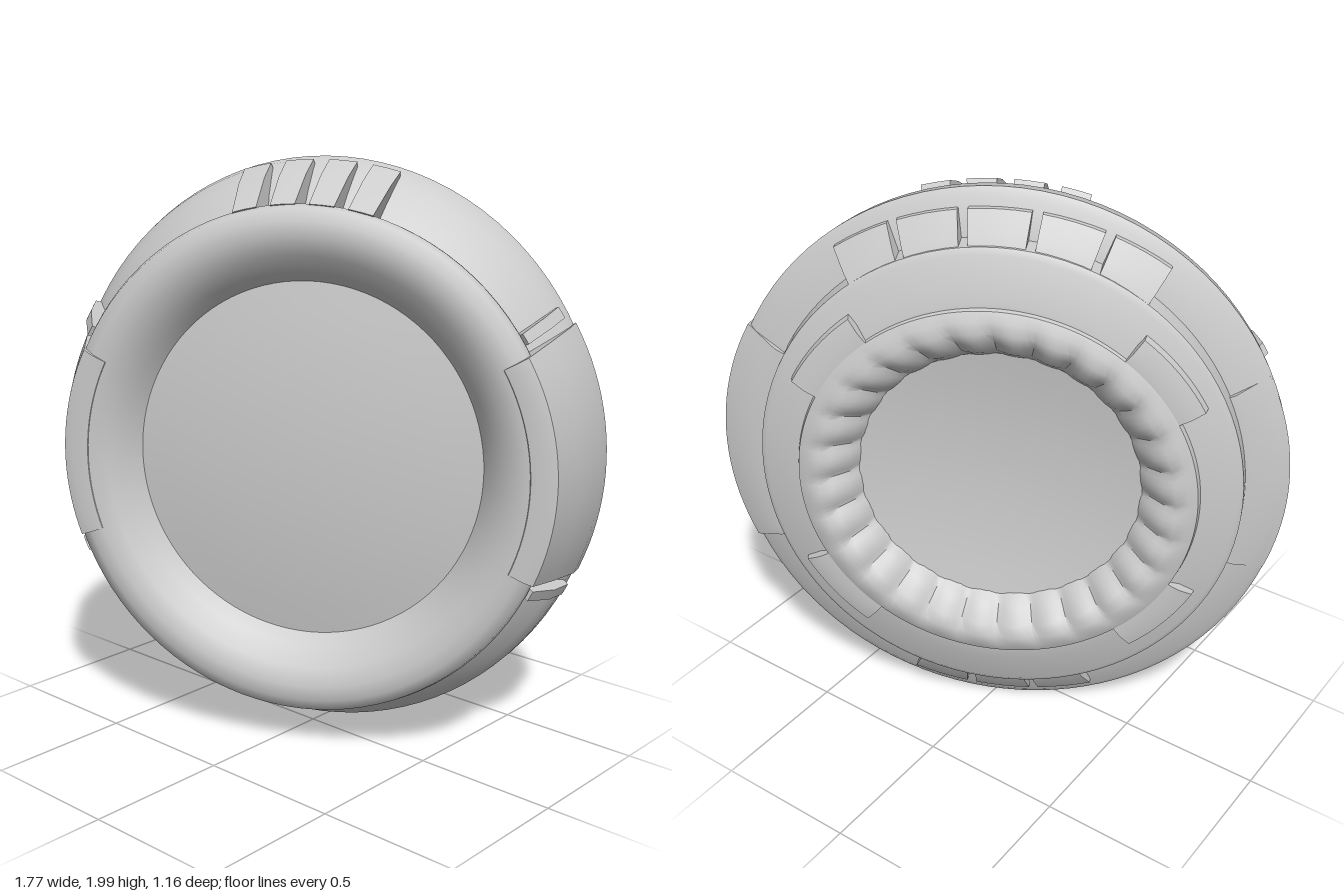
import * as THREE from 'three';
import { toCreasedNormals } from 'three/addons/utils/BufferGeometryUtils.js';

const material = new THREE.MeshStandardMaterial({ color: 0xcccccc, side: THREE.DoubleSide });
const rad = THREE.MathUtils.degToRad;
const vec = (points) => points.map(([r, w]) => new THREE.Vector2(r, w));

function part(name, geometry, parent) {
  const mesh = new THREE.Mesh(geometry, material);
  mesh.name = name;
  parent.add(mesh);
  return mesh;
}

// Surface turned about the z axis from (radius, depth) points, back to front
function turned(points, crease = 0.7, segments = 96) {
  const geometry = new THREE.LatheGeometry(vec(points), segments);
  geometry.rotateX(Math.PI / 2);
  return toCreasedNormals(geometry, crease);
}

// Shallow dome: radius, depth at the edge and depth at the centre
function dome(radius, edge, centre) {
  const points = [];
  for (let i = 0; i <= 6; i++) {
    const t = 1 - i / 6;
    points.push([radius * t, centre + (edge - centre) * t * t]);
  }
  return turned(points);
}

// Solid (radius, depth) section swept along an arc, angles in degrees
function sector(points, middle, width, steps = 4) {
  const geometry = new THREE.ExtrudeGeometry(new THREE.Shape(vec(points)), { depth: 1, steps, bevelEnabled: false });
  const p = geometry.attributes.position;
  for (let i = 0; i < p.count; i++) {
    const r = p.getX(i), w = p.getY(i);
    const a = rad(middle + width * (0.5 - p.getZ(i)));
    p.setXYZ(i, r * Math.cos(a), r * Math.sin(a), w);
  }
  geometry.computeVertexNormals();
  return toCreasedNormals(geometry, 0.6);
}

export function createModel() {
  const model = new THREE.Group();
  model.name = 'roundHousing';

  // Everything is built facing +z, then the whole disc is turned to one side
  const disc = new THREE.Group();
  disc.name = 'disc';
  disc.rotation.y = rad(26.5);
  disc.position.set(0.02, 1.005, -0.005);
  model.add(disc);

  // Wide rim, slightly oval, with a stepped back plate and a sloping front
  const rim = part('rimBody', turned([
    [0.64, -0.27], [0.68, -0.272], [0.73, -0.248], [0.825, -0.24], [0.845, -0.225], [0.85, -0.16],
    [0.97, -0.13], [0.995, -0.11], [0.985, -0.06], [0.955, -0.02], [0.89, 0.05], [0.8, 0.125],
  ], 0.6), disc);
  rim.scale.x = 0.95;

  // Raised rounded ring around the front plate
  const frontRing = part('frontRing', turned([
    [0.79, 0.09], [0.83, 0.125], [0.855, 0.17], [0.86, 0.2], [0.85, 0.23], [0.81, 0.25],
    [0.76, 0.253], [0.7, 0.23], [0.64, 0.18], [0.605, 0.13],
  ], 1), disc);
  frontRing.scale.x = 0.975;
  part('frontPlate', dome(0.607, 0.132, 0.18), disc);

  // Scalloped ring funnelling in to the sunken back plate
  const scallops = new THREE.LatheGeometry(vec([
    [0.47, -0.2], [0.5, -0.24], [0.55, -0.285], [0.59, -0.305], [0.63, -0.3], [0.66, -0.285], [0.67, -0.25],
  ]), 168);
  scallops.rotateX(Math.PI / 2);
  const p = scallops.attributes.position;
  for (let i = 0; i < p.count; i++) {
    const x = p.getX(i), y = p.getY(i), r = Math.hypot(x, y);
    const wave = Math.abs(Math.sin(14 * Math.atan2(y, x)));
    const fade = Math.max(0, 1 - Math.abs(r - 0.53) / 0.09);
    p.setZ(i, p.getZ(i) - 0.035 * fade * (wave - 0.5));
  }
  part('scallopedBackRing', toCreasedNormals(scallops, 0.8), disc);
  part('backPlate', dome(0.475, -0.205, -0.165), disc);

  // Broad side panels from the back plate to the front ring, each with flanking wedges
  const wedge = [[0.78, 0.05], [0.94, -0.05], [0.955, -0.03], [0.92, 0.08], [0.855, 0.2], [0.8, 0.16]];
  for (const [side, angle, width, inset] of [['left', 3, 52, 0], ['right', 177, 46, 0.015]]) {
    const panel = [
      [0.76, 0.1], [0.76, -0.17], [0.85, -0.17], [0.965, -0.115], [0.955, -0.05],
      [0.9, 0.11], [0.845, 0.25], [0.81, 0.26], [0.76, 0.255], [0.72, 0.2],
    ].map(([r, w]) => [r - inset, w]);
    part(side + 'Panel', sector(panel, angle, width, 20), disc);
    for (const end of [-1, 1]) {
      part(side + 'Wedge', sector(wedge, angle + end * (width / 2 + 3.5), 2.5, 2), disc);
    }
  }

  // Fins bridging the gap at the top
  for (let i = 0; i < 4; i++) {
    part('topFin', sector([
      [0.78, 0.05], [0.96, -0.05], [0.988, -0.03], [0.945, 0.07], [0.86, 0.21], [0.8, 0.15],
    ], 77 + i * 8.6, 5.5, 2), disc);
  }

  // Blocks set behind the rim, a long row at the top and a short one at the bottom
  for (const [middle, count] of [[90, 5], [270, 3]]) {
    for (let i = 0; i < count; i++) {
      part('backBlock', sector([
        [0.83, -0.13], [0.83, -0.225], [0.87, -0.205], [0.94, -0.155], [0.94, -0.13],
      ], middle + (i - (count - 1) / 2) * 14, 12, 4), disc);
    }
  }

  // Low tabs around the back ring
  for (const angle of [40, 140, 220, 320]) {
    part('backTab', sector([
      [0.65, -0.23], [0.65, -0.285], [0.7, -0.285], [0.75, -0.27], [0.76, -0.23],
    ], angle, 24, 8), disc);
  }

  return model;
}
